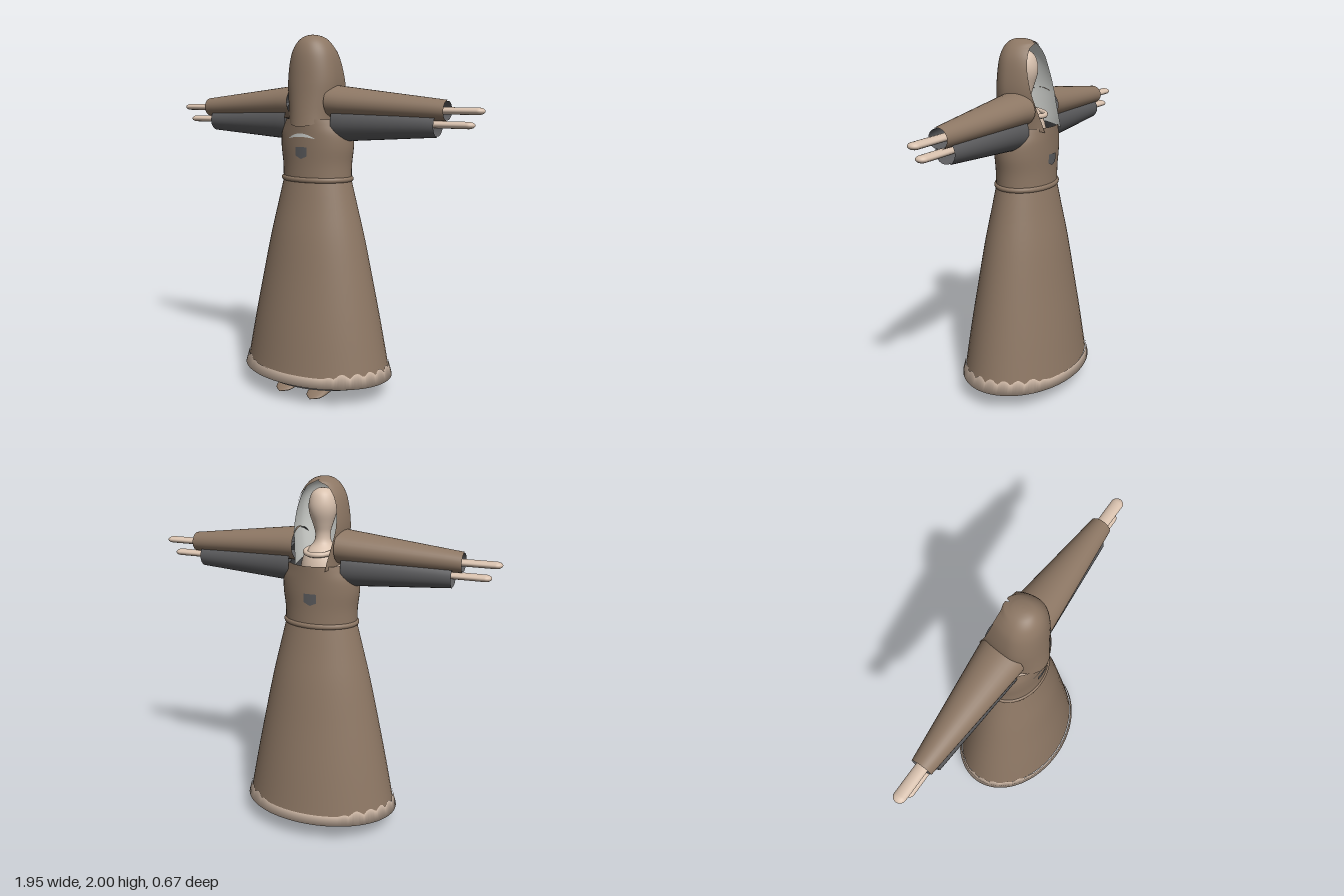
import * as THREE from 'three';
import { mergeVertices } from 'three/addons/utils/BufferGeometryUtils.js';

const mat = (name, color, side = THREE.FrontSide) => new THREE.MeshStandardMaterial({ name, color, side });

// Smooth surface from a rule f(u, v) -> [x, y, z]; flip turns it inside out
function grid(nu, nv, f, flip = false) {
  const pos = [], idx = [];
  for (let j = 0; j <= nv; j++)
    for (let i = 0; i <= nu; i++) pos.push(...f(i / nu, j / nv));
  for (let j = 0; j < nv; j++)
    for (let i = 0; i < nu; i++) {
      const a = j * (nu + 1) + i, b = a + 1, c = b + nu + 1, d = a + nu + 1;
      idx.push(...(flip ? [a, c, b, a, d, c] : [a, b, c, a, c, d]));
    }
  let g = new THREE.BufferGeometry();
  g.setAttribute('position', new THREE.Float32BufferAttribute(pos, 3));
  g.setIndex(idx);
  g = mergeVertices(g, 1e-5);
  g.computeVertexNormals();
  return g;
}

// Smooth curve through a table of [height, half width, half depth]
const curve = (rows) => new THREE.CatmullRomCurve3(rows.map((r) => new THREE.Vector3(...r)));

// Upright elliptical shell through a table of rings
function shell(rows, { inset = 0, flip = false, nv = 24 } = {}) {
  const c = curve(rows);
  return grid(48, nv, (u, v) => {
    const p = c.getPoint(v), a = u * Math.PI * 2;
    return [(p.y - inset) * Math.sin(a), p.x, (p.z - inset) * Math.cos(a)];
  }, flip);
}

const TORSO = [[1.19, 0.205, 0.155], [1.3, 0.207, 0.155], [1.4, 0.218, 0.16],
  [1.47, 0.213, 0.163], [1.52, 0.19, 0.166], [1.55, 0.175, 0.168]];
const SKIRT = [[0.16, 0.437, 0.32], [0.4, 0.39, 0.288], [0.65, 0.338, 0.25],
  [0.9, 0.283, 0.212], [1.08, 0.238, 0.178], [1.21, 0.205, 0.155]];

// Hood rings: height, half width, front z, back z, half opening angle
const HOOD = [[1.51, 0.13, 0.18, -0.165, 2.4], [1.58, 0.133, 0.174, -0.148, 2.35], [1.66, 0.14, 0.168, -0.122, 2.25],
  [1.75, 0.145, 0.163, -0.095, 2.15], [1.85, 0.134, 0.156, -0.07, 2.15], [1.91, 0.118, 0.146, -0.06, 2.25],
  [1.955, 0.092, 0.128, -0.052, 2.5], [1.985, 0.058, 0.1, -0.035, 3.1416], [1.997, 0.025, 0.07, 0.005, 3.1416],
  [2.0, 0, 0.04, 0.04, 3.1416]];

function hood(inset, flip) {
  const a = curve(HOOD.map((r) => r.slice(0, 3))), b = curve(HOOD.map((r) => [r[0], r[3], r[4]]));
  return grid(40, 36, (u, v) => {
    const p = a.getPoint(v), q = b.getPoint(v), T = Math.min(q.z, Math.PI);
    const t = (u * 2 - 1) * T, c = 0.04, cos = Math.cos(t);
    const depth = cos > 0 ? p.z - c - inset : (c - q.y) / -Math.cos(T);
    const lift = 0.04 * Math.sin(t) ** 2 * Math.max(0, 1 - v * 8);
    return [Math.max(0, p.y - inset) * Math.sin(t), p.x + lift - inset * v, c + depth * cos];
  }, flip);
}

// Tapered sleeve along x; ends are [x, centre y, half height, half depth]
const sleeve = (s, A, B, inset, flip) => grid(32, 8, (u, v) => {
  const [x, y, h, d] = A.map((k, i) => k + (B[i] - k) * v), a = -s * u * Math.PI * 2;
  return [s * x, y + (h - inset) * Math.sin(a), (d - inset) * Math.cos(a)];
}, flip);

// Thin patch following the torso front (face 1) or back (face -1)
function patch(face, w, top, bottom) {
  const c = curve(TORSO);
  return grid(16, 4, (u, v) => {
    const k = u * 2 - 1, x = face * w * k, y = bottom(k) + (top(k) - bottom(k)) * v;
    let lo = 0, hi = 1;
    for (let i = 0; i < 20; i++) {
      const m = (lo + hi) / 2;
      if (c.getPoint(m).x < y) lo = m; else hi = m;
    }
    const p = c.getPoint(lo);
    return [x, y, face * (p.z * Math.sqrt(1 - (x / p.y) ** 2) + 0.004)];
  });
}

export function createModel() {
  const brown = mat('brownCloth', 0x8d7764);
  const cream = mat('cream', 0xd8c1ae);
  const charcoal = mat('charcoal', 0x5c5c5e);
  const pale = mat('paleGrey', 0xd2d4d0);
  const model = new THREE.Group();
  model.name = 'hoodedRobe';
  const add = (name, geometry, material, parent = model) => {
    const m = new THREE.Mesh(geometry, material);
    m.name = name;
    parent.add(m);
    return m;
  };

  // Robe
  add('skirt', shell(SKIRT), brown);
  add('torso', shell(TORSO), brown);
  add('torsoInside', shell(TORSO, { inset: 0.006, flip: true }), charcoal);
  const belt = new THREE.TorusGeometry(0.203, 0.013, 12, 64);
  belt.rotateX(Math.PI / 2).scale(1, 1.1, 0.76).translate(0, 1.22, 0);
  add('belt', belt, brown);

  // Hem with a scalloped upper edge, rolled under at the bottom
  add('hem', grid(160, 2, (u, v) => {
    const a = u * Math.PI * 2, x = Math.sin(a), z = Math.cos(a);
    const amp = Math.min(1, Math.max(0, Math.abs(x) - 0.5) * 6);
    const r = [0.36, 0.458, 0.441][Math.round(v * 2)];
    const y = [0.112, 0.112, 0.166][Math.round(v * 2)];
    const up = v === 1 ? 0.026 * amp * Math.abs(Math.sin(a * 14)) : 0;
    return [(r - up * 0.2) * x, y + up, (r - up * 0.2) * z * 0.735];
  }), cream);

  // Underskirt rim and base
  add('underskirt', shell([[0.08, 0.368, 0.28], [0.13, 0.368, 0.28]], { nv: 1 }), charcoal);
  const rim = new THREE.RingGeometry(0.35, 0.368, 64);
  rim.rotateX(Math.PI / 2).scale(1, 1, 0.76).translate(0, 0.08, 0);
  add('underskirtRim', rim, charcoal);
  const base = new THREE.CircleGeometry(0.352, 64);
  base.rotateX(Math.PI / 2).scale(1, 1, 0.76).translate(0, 0.084, 0);
  add('underskirtBase', base, cream);

  // Hood, open at the back
  add('hood', hood(0, false), brown);
  add('hoodLining', hood(0.006, true), pale);

  // Head, neck, shoulders and collar inside the hood
  const bust = [[0.125, 1.45], [0.12, 1.53], [0.095, 1.6], [0.05, 1.65], [0.042, 1.7], [0.055, 1.75],
    [0.074, 1.81], [0.076, 1.86], [0.06, 1.91], [0.03, 1.935], [0, 1.94]].map((p) => new THREE.Vector2(...p));
  const bustGeometry = new THREE.LatheGeometry(new THREE.SplineCurve(bust).getPoints(40), 36);
  add('headAndShoulders', bustGeometry.translate(0, 0, 0.02), cream);
  const collar = new THREE.TorusGeometry(0.075, 0.014, 10, 40);
  add('collar', collar.rotateX(Math.PI / 2 - 0.15).translate(0, 1.61, -0.03), cream);

  // Sleeves and hands, two on each side
  for (const s of [1, -1]) {
    const side = s > 0 ? 'left' : 'right';
    const arms = [
      ['Upper', [0.12, 1.64, 0.092, 0.126], [0.78, 1.603, 0.053, 0.057], brown, 0.975, 1.602],
      ['Lower', [0.15, 1.535, 0.108, 0.106], [0.73, 1.527, 0.06, 0.06], charcoal, 0.925, 1.532],
    ];
    for (const [level, A, B, cloth, tip, y] of arms) {
      const arm = new THREE.Group();
      arm.name = side + level + 'Arm';
      model.add(arm);
      add('sleeve', sleeve(s, A, B, 0, false), cloth, arm);
      add('sleeveInside', sleeve(s, A, B, 0.005, true), charcoal, arm);
      const hand = new THREE.CapsuleGeometry(0.033, 0.4, 8, 20);
      hand.rotateZ(Math.PI / 2).scale(1, 0.55, 1).translate(s * (tip - 0.233), y, 0);
      add('hand', hand, cream, arm);
    }

    // Pointed shoe: rings of z, centre y, half height, half width
    const SHOE = [[-0.035, 0.1, 0, 0], [-0.025, 0.088, 0.045, 0.042], [0.04, 0.062, 0.055, 0.063],
      [0.12, 0.036, 0.033, 0.062], [0.2, 0.016, 0.013, 0.046], [0.235, 0.008, 0, 0]];
    const mid = curve(SHOE.map((r) => [r[0], r[1], 0])), half = curve(SHOE.map((r) => [r[0], r[2], r[3]]));
    add(side + 'Shoe', grid(24, 20, (u, v) => {
      const p = mid.getPoint(v), q = half.getPoint(v), a = u * Math.PI * 2;
      return [s * 0.105 + Math.max(0, q.z) * Math.cos(a), Math.max(0, p.y + q.y * Math.sin(a)), p.x];
    }), brown);
  }

  // Crescent on the chest and a small shield on front and back
  add('crescent', patch(1, 0.085, (k) => 1.446 + 0.028 * (1 - k * k), (k) => 1.445 + 0.01 * (1 - k * k)), pale);
  for (const face of [1, -1])
    add(face > 0 ? 'frontShield' : 'backShield',
      patch(face, 0.036, () => 1.4, (k) => 1.335 + 0.016 * Math.abs(k)), charcoal);

  return model;
}
